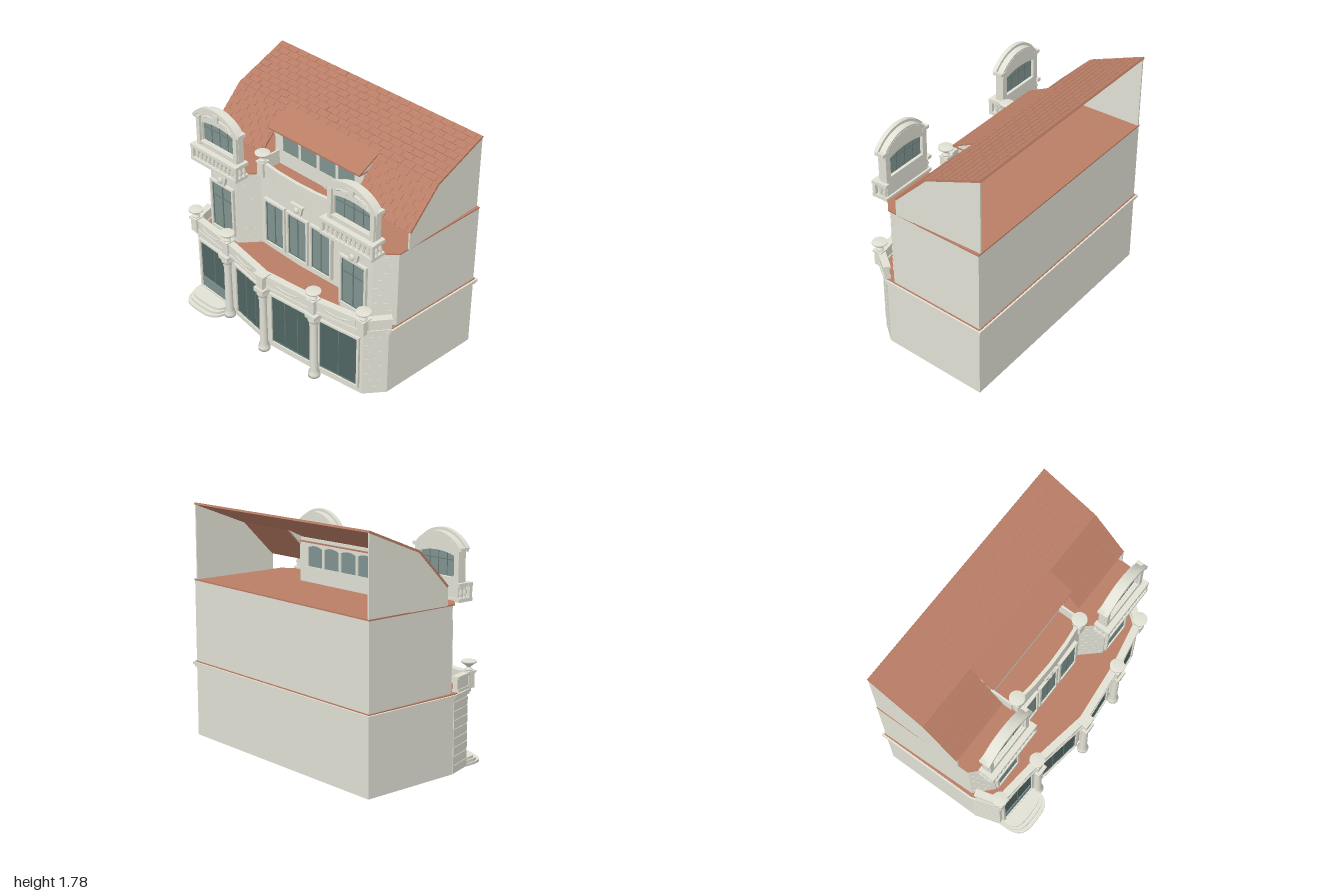
import * as THREE from 'three';
import { mergeGeometries } from 'three/addons/utils/BufferGeometryUtils.js';

const mat = (name, color, side = THREE.FrontSide) => {
  const m = new THREE.MeshStandardMaterial({ color, side });
  m.name = name;
  return m;
};
const stone = mat('stone', '#e1e0d4', THREE.DoubleSide);
const terracotta = mat('terracotta', '#b97d65', THREE.DoubleSide);
const paleGlass = mat('paleGlass', '#7f9390');
const darkGlass = mat('darkGlass', '#506562');
const frameMat = mat('windowFrame', '#667874');

const add = (parent, name, geo, material, x = 0, y = 0, z = 0) => {
  const m = new THREE.Mesh(geo, material);
  m.name = name;
  m.position.set(x, y, z);
  parent.add(m);
  return m;
};
const group = (parent, name, x = 0, y = 0, z = 0) => {
  const g = new THREE.Group();
  g.name = name;
  g.position.set(x, y, z);
  parent.add(g);
  return g;
};
const box = (w, h, d, x = 0, y = 0, z = 0) => new THREE.BoxGeometry(w, h, d).translate(x, y, z);
const lathe = (pts, n = 16) => new THREE.LatheGeometry(pts.map(p => new THREE.Vector2(...p)), n);

// Floor plan given as [x, z] points, raised from y0 to y1
const prism = (plan, y0, y1) => new THREE.ExtrudeGeometry(
  new THREE.Shape(plan.map(([x, z]) => new THREE.Vector2(x, -z))), { depth: y1 - y0, bevelEnabled: false })
  .rotateX(-Math.PI / 2).translate(0, y0, 0);

// Upright plate given as [z, y] points, with its thickness along x
const sidePlate = (pts, depth) => new THREE.ExtrudeGeometry(
  new THREE.Shape(pts.map(([z, y]) => new THREE.Vector2(-z, y))), { depth, bevelEnabled: false }).rotateY(Math.PI / 2);

// Widen a plan outwards with mitred corners
const grow = (plan, d) => plan.map(([x, z], i) => {
  const normal = (p, q) => new THREE.Vector2(p[1] - q[1], q[0] - p[0]).normalize();
  const n = plan.length;
  const a = normal(plan[(i + n - 1) % n], plan[i]), b = normal(plan[i], plan[(i + 1) % n]);
  const k = d / (1 + a.dot(b));
  return [x + (a.x + b.x) * k, z + (a.y + b.y) * k];
});

// Group on a wall running from a to b, its z pointing outwards
const onWall = (parent, name, a, b) => {
  const g = group(parent, name, (a[0] + b[0]) / 2, 0, (a[1] + b[1]) / 2);
  g.rotation.y = Math.atan2(a[1] - b[1], b[0] - a[0]);
  g.userData.length = Math.hypot(b[0] - a[0], b[1] - a[1]);
  return g;
};

const windowUnit = (parent, x, y0, y1, w, glass, cols, transom) => {
  const g = group(parent, 'window', x, (y0 + y1) / 2, 0);
  const h = y1 - y0, t = 0.018;
  add(g, 'glass', box(w, h, 0.008), glass);
  add(g, 'surround', mergeGeometries([
    box(t, h + 2 * t, 0.04, -w / 2 - t / 2), box(t, h + 2 * t, 0.04, w / 2 + t / 2),
    box(w, t, 0.04, 0, h / 2 + t / 2), box(w, t, 0.04, 0, -h / 2 - t / 2)]), stone);
  const bars = [box(0.007, h, 0.018, -w / 2 + 0.0035), box(0.007, h, 0.018, w / 2 - 0.0035),
    box(w, 0.007, 0.018, 0, h / 2 - 0.0035), box(w, 0.007, 0.018, 0, -h / 2 + 0.0035)];
  for (let i = 1; i < cols; i++) bars.push(box(0.007, h, 0.018, -w / 2 + w * i / cols));
  if (transom) bars.push(box(w, 0.007, 0.018, 0, h / 2 - h * transom));
  add(g, 'glazingBars', mergeGeometries(bars), frameMat);
};

// Raised masonry courses: continuous bands, or short staggered blocks
const courses = (parent, a, b, y0, y1, continuous) => {
  const g = onWall(parent, 'masonry', a, b), L = g.userData.length, parts = [];
  let row = 0;
  for (let y = y0; y < y1; y += 0.065, row++) {
    if (continuous) parts.push(box(L, 0.056, 0.008, 0, y, 0.001));
    else for (let x = -L / 2 + 0.025 + (row % 2) * 0.03; x < L / 2 - 0.02; x += 0.07)
      parts.push(box(0.026, 0.005, 0.004, x, y, 0.001));
  }
  add(g, 'courses', mergeGeometries(parts), stone);
};

const urn = (parent, x, y, z) => add(parent, 'urn', lathe([[0, 0], [0.028, 0], [0.028, 0.01], [0.013, 0.02],
  [0.017, 0.032], [0.042, 0.05], [0.056, 0.06], [0.056, 0.07], [0, 0.07]]), stone, x, y, z);

const keystone = (parent, x, y, z) => {
  const s = new THREE.Shape([[-0.035, -0.038], [0.035, -0.038], [0.055, 0.038], [-0.055, 0.038]].map(p => new THREE.Vector2(...p)));
  const g = group(parent, 'keystone', x, y, z);
  add(g, 'block', new THREE.ExtrudeGeometry(s, { depth: 0.02, bevelEnabled: false }), stone);
  add(g, 'carvedRelief', new THREE.SphereGeometry(0.024, 12, 8).scale(0.9, 1.15, 0.6), stone, 0, 0, 0.024);
  add(g, 'cap', box(0.12, 0.01, 0.03), stone, 0, 0.04, 0.012);
};

// Sloping roof sheet between bottom [z, y] and top [z, y], optionally with raised tiles
const slope = (parent, name, x0, x1, [z0, y0], [z1, y1], tiled) => {
  const g = group(parent, name, (x0 + x1) / 2, y0, z0), w = x1 - x0, L = Math.hypot(z1 - z0, y1 - y0);
  g.rotation.x = Math.atan2(z1 - z0, y1 - y0);
  add(g, 'sheet', box(w, L, 0.012, 0, L / 2, -0.006), terracotta);
  if (!tiled) return;
  const rows = Math.round(L / 0.053), h = L / rows, parts = [];
  for (let r = 0; r < rows; r++)
    for (let x = -w / 2 - (r % 2) * 0.05; x < w / 2 - 0.01; x += 0.1) {
      const a = Math.max(x, -w / 2), b = Math.min(x + 0.092, w / 2);
      parts.push(box(b - a, h - 0.009, 0.008, (a + b) / 2, (r + 0.5) * h, 0));
    }
  add(g, 'tiles', mergeGeometries(parts), terracotta);
};

// Arched outline: straight sides up to the spring line, then a segment of a circle
const arched = (half, y0, spring, rise) => {
  const R = (half * half + rise * rise) / (2 * rise), a = Math.asin(half / R), s = new THREE.Shape();
  s.moveTo(-half, y0).lineTo(half, y0).lineTo(half, spring);
  s.absarc(0, spring + rise - R, R, Math.PI / 2 - a, Math.PI / 2 + a, false);
  return s.closePath();
};
const arcBand = (r0, r1, a, cy, depth) => {
  const s = new THREE.Shape();
  s.absarc(0, cy, r1, Math.PI / 2 - a, Math.PI / 2 + a, false);
  s.absarc(0, cy, r0, Math.PI / 2 + a, Math.PI / 2 - a, true);
  return new THREE.ExtrudeGeometry(s, { depth, bevelEnabled: false, curveSegments: 20 });
};

// Free-standing arched gable with its small balustraded balcony
const archedGable = (parent, x) => {
  const g = group(parent, 'archedGable', x, 0, 0);
  const wall = arched(0.215, 1.2, 1.555, 0.1);
  wall.holes.push(arched(0.17, 1.365, 1.515, 0.025));
  add(g, 'gableWall', new THREE.ExtrudeGeometry(wall, { depth: 0.05, bevelEnabled: false, curveSegments: 20 }), stone, 0, 0, 0.285);
  add(g, 'glass', new THREE.ExtrudeGeometry(arched(0.17, 1.365, 1.515, 0.025), { depth: 0.008, bevelEnabled: false }), paleGlass, 0, 0, 0.308);
  add(g, 'glazingBars', mergeGeometries([-0.085, 0, 0.085].map(v => box(0.006, 0.165, 0.014, v, 1.45, 0.312))
    .concat(box(0.34, 0.006, 0.014, 0, 1.48, 0.312))), frameMat);
  add(g, 'outerArch', arcBand(0.278, 0.3, 0.93, 1.39, 0.032), stone, 0, 0, 0.335);
  add(g, 'middleArch', arcBand(0.25, 0.28, 0.9, 1.39, 0.065), stone, 0, 0, 0.287);
  add(g, 'innerArch', arcBand(0.205, 0.22, 0.75, 1.39, 0.015), stone, 0, 0, 0.335);
  add(g, 'crest', box(0.05, 0.055, 0.025), stone, 0, 1.62, 0.345);
  add(g, 'sill', box(0.36, 0.015, 0.025), stone, 0, 1.355, 0.34);
  for (const s of [-1, 1]) {
    add(g, 'pilaster', box(0.035, 0.22, 0.02), stone, s * 0.195, 1.44, 0.345);
    add(g, 'pilasterCapital', box(0.065, 0.025, 0.075), stone, s * 0.208, 1.56, 0.32);
    const scroll = new THREE.CatmullRomCurve3([[0.14, 1.575], [0.09, 1.595], [0.05, 1.58], [0.03, 1.6]].map(p => new THREE.Vector3(s * p[0], p[1], 0.34)));
    add(g, 'scroll', new THREE.TubeGeometry(scroll, 12, 0.008, 6), stone);
  }
  const b = group(g, 'balcony');
  add(b, 'floor', box(0.48, 0.025, 0.13), stone, 0, 1.212, 0.335);
  add(b, 'rail', mergeGeometries([box(0.49, 0.026, 0.04, 0, 1.318, 0.378),
    box(0.035, 0.026, 0.11, -0.225, 1.318, 0.325), box(0.035, 0.026, 0.11, 0.225, 1.318, 0.325)]), stone);
  const baluster = lathe([[0.013, 0], [0.013, 0.01], [0.007, 0.018], [0.017, 0.036], [0.007, 0.062], [0.013, 0.07], [0.013, 0.082]], 10);
  for (let i = 0; i < 10; i++) add(b, 'baluster', baluster, stone, -0.189 + i * 0.042, 1.224, 0.378);
  for (const s of [-1, 1]) {
    for (const z of [0.3, 0.338]) add(b, 'baluster', baluster, stone, s * 0.225, 1.224, z);
    add(b, 'cornerPost', box(0.025, 0.085, 0.025), stone, s * 0.23, 1.265, 0.382);
  }
};

export function createModel() {
  const root = new THREE.Group();
  root.name = 'townHouse';

  // Ground floor
  const ground = [[-0.975, -0.59], [-0.965, 0.2], [-0.9, 0.4], [-0.51, 0.42], [-0.04, 0.49], [0.42, 0.45], [0.81, 0.4], [0.925, 0.26], [0.975, -0.59]];
  add(root, 'groundFloor', prism(ground, 0, 0.55), stone);
  add(root, 'lowerCornice', prism(grow(ground, 0.012), 0.535, 0.555), stone);
  add(root, 'upperCornice', prism(grow(ground, 0.022), 0.552, 0.574), stone);
  add(root, 'terrace', prism(grow(ground, 0.008), 0.574, 0.581), terracotta);
  [[2, 0, 0.31, 2], [3, 0.02, 0.355, 3], [4, -0.008, 0.36, 3], [5, -0.005, 0.325, 2]].forEach(([i, x, w, cols]) => {
    const g = onWall(root, 'shopfront', ground[i], ground[i + 1]);
    windowUnit(g, x, 0.07, 0.495, w, darkGlass, cols, 0);
    if (i === 2) add(g, 'doorPanel', box(w - 0.015, 0.085, 0.009), paleGlass, 0, 0.118, 0.006);
  });
  courses(root, ground[1], ground[2], 0.033, 0.52, true);
  courses(root, ground[6], ground[7], 0.06, 0.52, false);

  // Entrance steps with rounded corners
  for (let i = 0; i < 3; i++) {
    const plan = [];
    for (let k = 0; k <= 20; k++) {
      const a = Math.PI * (1 - k / 20), c = Math.cos(a), s = Math.max(0, Math.sin(a));
      plan.push([-0.715 + Math.sign(c) * Math.abs(c) ** 0.6 * (0.192 - i * 0.008), 0.4 + s ** 0.6 * (0.205 - i * 0.03)]);
    }
    add(root, 'step', prism(plan, i * 0.02, i * 0.02 + 0.02), stone);
  }

  // Columns
  const column = lathe([[0, 0], [0.045, 0], [0.045, 0.025], [0.036, 0.03], [0.04, 0.045], [0.031, 0.055], [0.027, 0.47],
    [0.034, 0.478], [0.029, 0.49], [0.032, 0.505], [0.045, 0.52], [0.045, 0.55], [0, 0.55]], 20);
  [[-0.51, 0.46], [-0.04, 0.545], [0.43, 0.495]].forEach(([x, z]) => {
    add(root, 'column', column, stone, x, 0, z);
    add(root, 'columnBlock', box(0.095, 0.035, 0.09), stone, x, 0.562, z);
  });

  // Terrace parapet with swags, posts and urns
  const rail = [[-0.948, 0.23], [-0.9, 0.4], [-0.51, 0.44], [-0.04, 0.52], [0.42, 0.475], [0.82, 0.4], [0.935, 0.25]];
  for (let i = 0; i < rail.length - 1; i++) {
    const g = onWall(root, 'parapet', rail[i], rail[i + 1]), L = g.userData.length;
    add(g, 'parapetWall', box(L, 0.1, 0.035), stone, 0, 0.63, 0);
    add(g, 'parapetCap', box(L + 0.01, 0.018, 0.055), stone, 0, 0.684, 0);
    add(g, 'parapetBase', box(L, 0.02, 0.05), stone, 0, 0.59, 0);
    if (L < 0.3) continue;
    add(g, 'panel', box(L * 0.72, 0.06, 0.01), stone, 0, 0.637, 0.016);
    const swag = new THREE.QuadraticBezierCurve3(new THREE.Vector3(-0.1, 0.648, 0.021), new THREE.Vector3(0, 0.615, 0.026), new THREE.Vector3(0.1, 0.648, 0.021));
    add(g, 'swag', new THREE.TubeGeometry(swag, 12, 0.006, 6), stone);
  }
  [[-0.9, 0.41, 1], [-0.51, 0.45, 1], [-0.04, 0.545, 0], [0.42, 0.49, 1], [0.82, 0.41, 1]].forEach(([x, z, hasUrn]) => {
    add(root, 'parapetPost', box(0.06, 0.115, 0.06), stone, x, 0.635, z);
    add(root, 'postCap', box(hasUrn ? 0.075 : 0.1, 0.015, 0.08), stone, x, 0.694, z);
    if (hasUrn) urn(root, x, 0.7, z);
  });

  // Upper floor with two projecting bays
  const upper = [[-0.975, -0.59], [-0.95, 0.19], [-0.82, 0.31], [-0.55, 0.31], [-0.43, 0.17], [-0.03, 0.185],
    [0.37, 0.17], [0.5, 0.31], [0.8, 0.31], [0.93, 0.19], [0.975, -0.59]];
  add(root, 'upperFloor', prism(upper, 0.575, 1.2), stone);
  const eaves = grow(upper, 0.015);
  eaves[0] = [-0.978, -0.592];
  eaves[10] = [0.978, -0.592];
  add(root, 'eavesCornice', prism([upper[0], upper[1], ...eaves.slice(2, 9), upper[9], upper[10]], 1.178, 1.198), stone);
  add(root, 'roofDeck', prism(eaves, 1.198, 1.208), terracotta);
  for (const x of [-0.69, 0.635]) {
    const g = group(root, 'bayWindow', 0, 0, 0.312);
    windowUnit(g, x, 0.65, 1.035, 0.215, paleGlass, 2, 0.3);
    keystone(g, x, 1.09, 0);
    archedGable(root, x - (x > 0 ? 0.005 : 0));
  }
  const middle = group(root, 'middleWindows', 0, 0, 0.183);
  for (const x of [-0.268, -0.035, 0.2]) windowUnit(middle, x, 0.65, 1.005, 0.18, paleGlass, 2, 0);
  keystone(middle, -0.03, 1.08, 0);
  [[1, 2], [3, 4], [6, 7], [8, 9]].forEach(([i, j]) => courses(root, upper[i], upper[j], 0.64, 1.17, false));

  // Attic parapet between the bays
  add(root, 'atticParapet', prism([[-0.4, 0.165], [-0.22, 0.185], [-0.03, 0.192], [0.16, 0.185], [0.34, 0.165], [0.34, 0.19],
    [0.16, 0.212], [-0.03, 0.218], [-0.22, 0.212], [-0.4, 0.19]].reverse(), 1.205, 1.32), stone);
  for (const [x, s] of [[-0.39, -1], [0.33, 1]]) {
    add(root, 'atticPost', box(0.06, 0.12, 0.06), stone, x, 1.265, 0.185);
    add(root, 'atticPostCap', box(0.07, 0.012, 0.07), stone, x, 1.324, 0.185);
    add(root, 'atticReturn', box(0.015, 0.115, 0.19), stone, x + s * 0.035, 1.262, 0.075);
    urn(root, x, 1.33, 0.185);
  }

  // Tiled roof, open at the back
  const eave = [0.12, 1.34], bend = [-0.145, 1.605], ridge = [-0.593, 1.779];
  slope(root, 'upperRoof', -0.975, 0.957, bend, ridge, true);
  slope(root, 'leftLowerRoof', -0.975, -0.465, eave, bend, true);
  slope(root, 'rightLowerRoof', 0.42, 0.957, eave, bend, true);
  slope(root, 'dormerRoof', -0.47, 0.425, [0.05, 1.515], [-0.15, 1.612], false);
  add(root, 'dormerSoffit', box(0.89, 0.01, 0.09), terracotta, -0.022, 1.507, 0.003);

  // Side gable walls and dormer cheeks
  for (const x of [-0.972, 0.942])
    add(root, 'gableSide', sidePlate([[0.12, 1.205], [0.12, 1.33], [-0.145, 1.595], [-0.59, 1.77], [-0.59, 1.205]], 0.012), stone, x);
  for (const x of [-0.465, 0.41])
    add(root, 'dormerCheek', sidePlate([[0, 1.45], [0, 1.53], [-0.145, 1.6]], 0.01), stone, x);

  // Long dormer with four windows, glazed through its wall
  const dormer = new THREE.Shape([[-0.46, 1.205], [0.42, 1.205], [0.42, 1.535], [-0.46, 1.535]].map(p => new THREE.Vector2(...p)));
  for (const x of [-0.303, -0.12, 0.065, 0.248]) {
    const pane = arched(0.079, 1.325, 1.465, 0.016);
    dormer.holes.push(new THREE.Path(pane.getPoints(8).map(p => new THREE.Vector2(p.x + x, p.y))));
    add(root, 'dormerGlass', new THREE.ExtrudeGeometry(pane, { depth: 0.008, bevelEnabled: false }), paleGlass, x, 0, -0.022);
  }
  add(root, 'dormerWall', new THREE.ExtrudeGeometry(dormer, { depth: 0.02, bevelEnabled: false }), stone, 0, 0, -0.03);
  return root;
}
